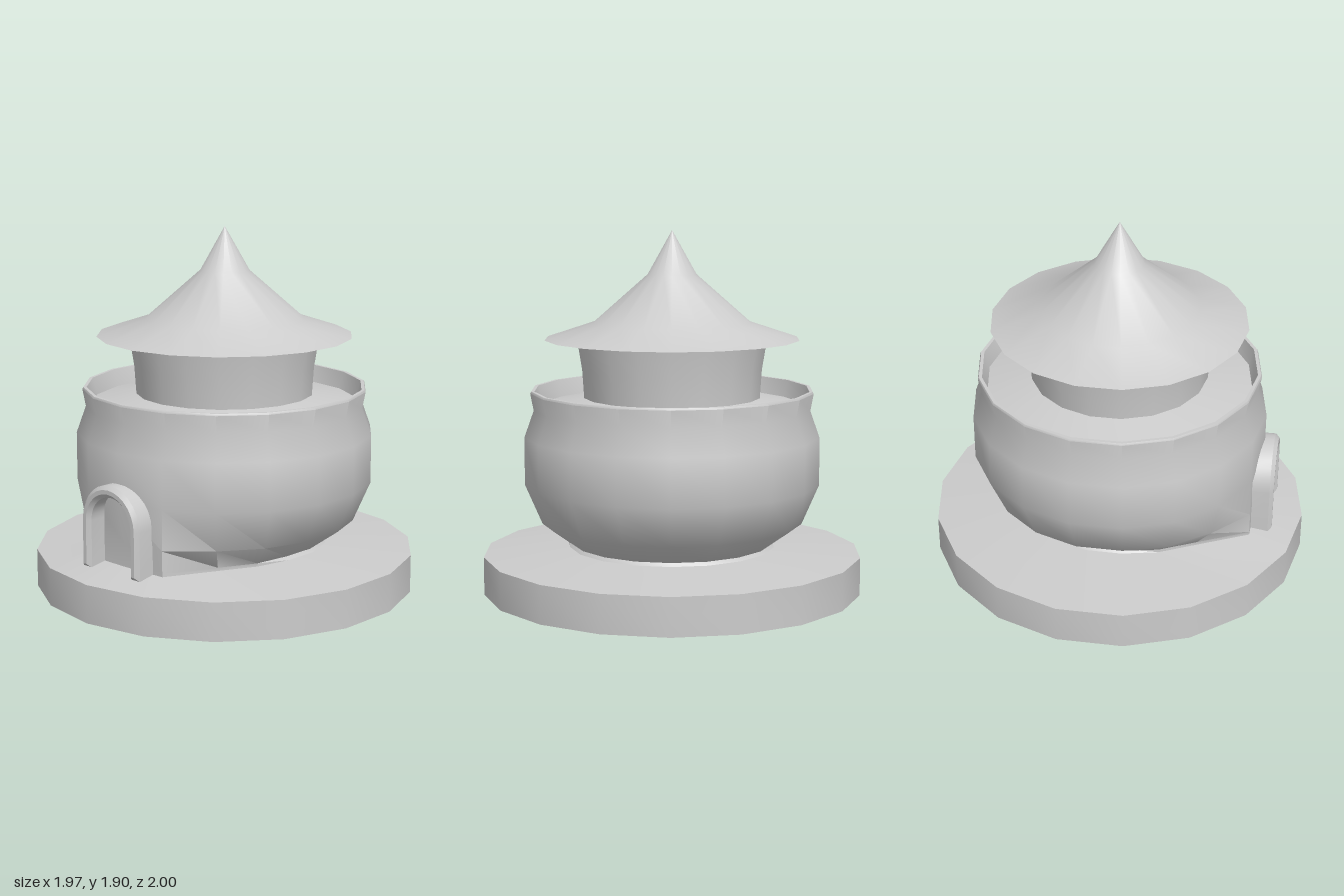
import * as THREE from 'three';
import { toCreasedNormals } from 'three/addons/utils/BufferGeometryUtils.js';

const SIDES = 18;
const material = new THREE.MeshStandardMaterial({ color: 0xcccccc, side: THREE.DoubleSide });

// Radius of the foot around the front, by corner counted from the centre line
const FOOT = [0.745, 0.785, 0.62, 0.57];
const LOWER = [0.75, 0.785, 0.72, 0.7];

// Pushes the foot of the wall forward to form a flat front for the doorway
function pullFront(geometry) {
  const p = geometry.attributes.position;
  for (let i = 0; i < p.count; i++) {
    const x = p.getX(i), y = p.getY(i), z = p.getZ(i);
    const r = Math.hypot(x, z);
    if (r < 0.1 || y < 0.22 || y > 0.5) continue;
    const k = Math.round(Math.abs(Math.atan2(x, z)) / (Math.PI * 2 / SIDES));
    const target = (y < 0.3 ? FOOT : LOWER)[k];
    if (target > r) {
      p.setX(i, x * target / r);
      p.setZ(i, z * target / r);
    }
  }
  return geometry;
}

function turned(name, profile) {
  const points = profile.map(([r, y]) => new THREE.Vector2(r, y));
  const geometry = pullFront(new THREE.LatheGeometry(points, SIDES));
  const mesh = new THREE.Mesh(toCreasedNormals(geometry, 0.7), material);
  mesh.name = name;
  return mesh;
}

// Arched frame: legs and a half-round head, with chamfered edges
function doorFrame() {
  const outer = 0.185, inner = 0.163, foot = 0.24, spring = 0.47;
  const shape = new THREE.Shape();
  shape.moveTo(outer, foot);
  shape.lineTo(outer, spring);
  shape.absarc(0, spring, outer, 0, Math.PI, false);
  shape.lineTo(-outer, foot);
  shape.lineTo(-inner, foot);
  shape.lineTo(-inner, spring);
  shape.absarc(0, spring, inner, Math.PI, 0, true);
  shape.lineTo(inner, foot);
  shape.closePath();
  const geometry = new THREE.ExtrudeGeometry(shape, {
    depth: 0.13, curveSegments: 7,
    bevelEnabled: true, bevelSize: 0.02, bevelThickness: 0.02, bevelSegments: 1,
  });
  geometry.translate(0, 0, 0.7);
  const mesh = new THREE.Mesh(toCreasedNormals(geometry, 0.55), material);
  mesh.name = 'doorFrame';
  return mesh;
}

export function createModel() {
  const group = new THREE.Group();
  group.name = 'roundHouse';
  group.add(
    turned('base', [[0, 0], [1, 0], [1, 0.2], [0.545, 0.238]]),
    // Bulging wall, rim and the sunken deck inside it
    turned('wall', [
      [0.545, 0.238], [0.53, 0.255], [0.69, 0.37], [0.78, 0.58], [0.78, 0.83],
      [0.73, 0.97], [0.747, 1.06], [0.742, 1.07], [0.725, 1.07], [0.7, 0.98], [0.465, 1.03],
    ]),
    turned('upperDrum', [[0.465, 1.03], [0.475, 1.18], [0.5, 1.335]]),
    turned('roof', [[0, 1.335], [0.67, 1.335], [0.415, 1.42], [0.13, 1.67], [0, 1.9]]),
    doorFrame(),
  );
  return group;
}
